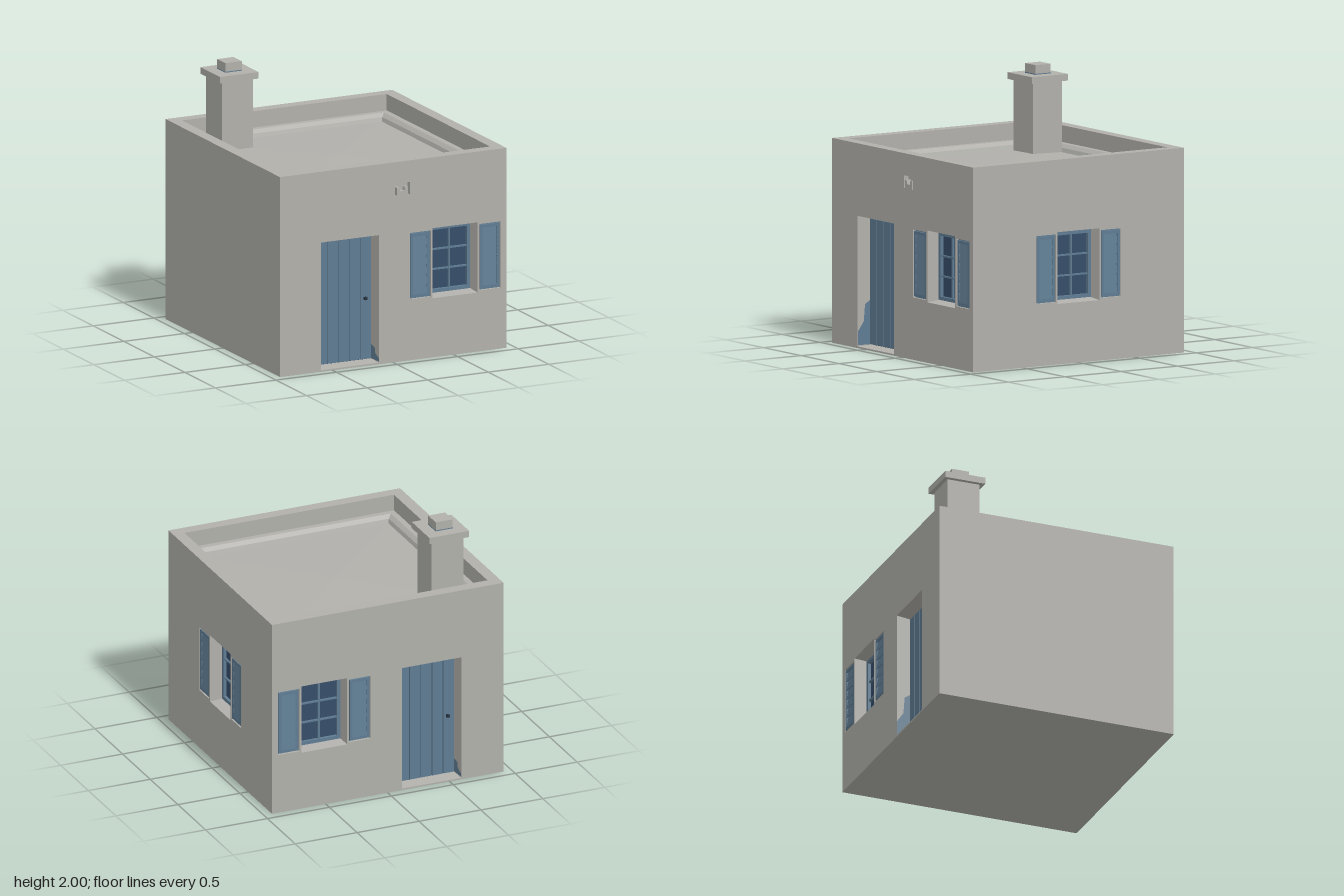
import * as THREE from 'three';

const HALF = 0.935, WALL_TOP = 1.525, DEPTH = 0.115;

function material(name, color, side = THREE.FrontSide) {
  const m = new THREE.MeshStandardMaterial({ color, side });
  m.name = name;
  return m;
}

// Corners of a rectangle, counter-clockwise, at depth z
const rect = (x0, x1, y0, y1, z) => [[x0, y0, z], [x1, y0, z], [x1, y1, z], [x0, y1, z]];

// Flat-sided skin joining consecutive loops of equal length
function skin(loops) {
  const pos = [];
  for (let k = 0; k + 1 < loops.length; k++) {
    const a = loops[k], b = loops[k + 1], n = a.length;
    for (let i = 0; i < n; i++) {
      const j = (i + 1) % n;
      pos.push(...a[i], ...a[j], ...b[j], ...a[i], ...b[j], ...b[i]);
    }
  }
  const g = new THREE.BufferGeometry();
  g.setAttribute('position', new THREE.Float32BufferAttribute(pos, 3));
  g.computeVertexNormals();
  return g;
}

const toShape = (pts) => new THREE.Shape(pts.map(([x, y]) => new THREE.Vector2(x, y)));

export function createModel() {
  const plaster = material('plaster', 0xb1b0ab, THREE.DoubleSide);
  const paint = material('bluePaint', 0x5f7c92, THREE.DoubleSide);
  const glass = material('glass', 0x354d68);
  const dark = material('darkMetal', 0x26323d);

  const house = new THREE.Group();
  house.name = 'house';

  function add(parent, name, geo, mat, x = 0, y = 0, z = 0) {
    const m = new THREE.Mesh(geo, mat);
    m.name = name;
    m.position.set(x, y, z);
    parent.add(m);
    return m;
  }
  const box = (parent, name, mat, w, h, d, x, y, z) =>
    add(parent, name, new THREE.BoxGeometry(w, h, d), mat, x, y, z);

  // Recess: cuts a hole in the wall and lines it back to the inner loop
  function recess(wall, holes, name, outer, inner, backMat) {
    holes.push(toShape(outer));
    add(wall, name + 'Reveal', skin([outer, inner]), plaster, 0, 0, HALF);
    if (backMat) {
      add(wall, name + 'Back', new THREE.ShapeGeometry(toShape(inner)), backMat, 0, 0, HALF + inner[0][2]);
    }
  }

  // Louvred shutter set flush in a shallow recess
  function shutter(wall, holes, cx) {
    const w = 0.0865, y0 = 0.465, y1 = 0.97, d = -0.02;
    recess(wall, holes, 'shutter', rect(cx - w, cx + w, y0, y1, 0), rect(cx - w, cx + w, y0, y1, d), paint);
    const g = new THREE.Group();
    g.name = 'shutter';
    g.position.set(cx, 0, HALF - 0.011);
    wall.add(g);
    for (const s of [-1, 1]) {
      box(g, 'shutterStile', paint, 0.022, 0.485, 0.016, s * 0.069, 0.7175, 0);
      box(g, 'shutterRail', paint, 0.116, 0.022, 0.016, 0, 0.7175 + s * 0.2315, 0);
    }
    for (let i = 0; i < 6; i++) {
      const slat = box(g, 'slat', paint, 0.116, 0.076, 0.004, 0, 0.533 + i * 0.074, 0.001);
      slat.rotation.x = -0.14;
    }
  }

  // Six-pane window in a splayed opening, with a shutter on each side
  function windowUnit(wall, holes, cx) {
    const w = 0.17, y0 = 0.465, y1 = 0.97;
    recess(wall, holes, 'window',
      rect(cx - w - 0.015, cx + w + 0.015, y0 - 0.015, y1 + 0.015, 0),
      rect(cx - w, cx + w, y0, y1, -DEPTH), glass);
    const g = new THREE.Group();
    g.name = 'windowFrame';
    g.position.set(cx, 0, HALF - DEPTH + 0.01);
    wall.add(g);
    for (const s of [-1, 1]) {
      box(g, 'frameSide', paint, 0.026, y1 - y0, 0.03, s * 0.157, 0.7175, 0);
      box(g, 'frameRail', paint, 0.29, 0.026, 0.03, 0, 0.7175 + s * 0.2395, 0);
      box(g, 'glazingBar', paint, 0.29, 0.012, 0.016, 0, 0.7175 + s * 0.076, 0);
    }
    box(g, 'glazingPost', paint, 0.014, 0.455, 0.018, 0, 0.7175, 0);
    for (const s of [-1, 1]) shutter(wall, holes, cx + s * 0.2875);
  }

  // Plank door with a knob and worn paint low on the jambs
  function door(wall, holes, cx) {
    const y0 = 0.02, y1 = 0.965;
    recess(wall, holes, 'door',
      rect(cx - 0.24, cx + 0.24, 0.012, 0.985, 0),
      rect(cx - 0.23, cx + 0.23, y0, y1, -DEPTH), dark);
    for (let i = 0; i < 5; i++) {
      box(wall, 'doorPlank', paint, 0.084, y1 - y0 - 0.012, 0.02,
        cx + (i - 2) * 0.0905, (y0 + y1) / 2, HALF - DEPTH + 0.008);
    }
    box(wall, 'doorKnob', dark, 0.02, 0.02, 0.025, cx + 0.17, 0.49, HALF - DEPTH + 0.03);
    for (const [s, h] of [[-1, 0.36], [1, 0.13]]) {
      const geo = new THREE.ShapeGeometry(toShape(
        [[0.002, 0.022], [0.113, 0.022], [0.113, h], [0.06, h * 0.9], [0.05, h * 0.55], [0.002, h * 0.35]]));
      const p = geo.attributes.position;
      for (let i = 0; i < p.count; i++) {
        const u = p.getX(i);
        p.setXYZ(i, s * (0.238 - 0.01 * u / DEPTH), p.getY(i), -u);
      }
      geo.computeVertexNormals();
      add(wall, 'jambPaint', geo, paint, cx, 0, HALF);
    }
  }

  // Notched niche above the front window
  function niche(wall, holes) {
    const half = [[0.062, 1.265], [0.062, 1.36]];
    const inner = [[0.045, 1.265], [0.045, 1.327], [0.024, 1.327], [0.018, 1.298]];
    const right = [...inner.slice().reverse(), ...half];
    const left = right.slice().reverse().map(([x, y]) => [-x, y]);
    const at = (z) => [...right, ...left].map(([x, y]) => [x + 0.077, y, z]);
    recess(wall, holes, 'niche', at(0), at(-0.04), plaster);
  }

  // Four walls, each drawn facing +z and then turned into place
  const walls = [
    { name: 'frontWall', turn: 0, fill: (w, h) => { door(w, h, -0.355); windowUnit(w, h, 0.512); niche(w, h); } },
    { name: 'rightWall', turn: Math.PI / 2, fill: (w, h) => windowUnit(w, h, 0) },
    { name: 'backWall', turn: Math.PI, fill: (w, h) => { door(w, h, 0.355); windowUnit(w, h, -0.512); } },
    { name: 'leftWall', turn: -Math.PI / 2, fill: () => {} },
  ];
  for (const { name, turn, fill } of walls) {
    const wall = new THREE.Group(), holes = [];
    wall.name = name;
    wall.rotation.y = turn;
    fill(wall, holes);
    const face = toShape(rect(-HALF, HALF, 0, WALL_TOP, 0));
    face.holes = holes;
    add(wall, name + 'Face', new THREE.ShapeGeometry(face), plaster, 0, 0, HALF);
    house.add(wall);
  }

  // Parapet, ledge, sloped edge and slightly raised roof
  const square = (h, z) => rect(-h, h, -h, h, z);
  add(house, 'parapetAndRoof', skin([
    square(HALF, WALL_TOP), square(0.845, WALL_TOP), square(0.845, 1.4), square(0.8, 1.4),
    square(0.772, 1.375), square(0.762, 1.345), square(0.002, 1.36),
  ]), plaster).rotation.x = -Math.PI / 2;
  add(house, 'floor', new THREE.PlaneGeometry(HALF * 2, HALF * 2), plaster).rotation.x = Math.PI / 2;

  // Chimney
  const chimney = new THREE.Group();
  chimney.name = 'chimney';
  chimney.position.set(-0.558, 0, -0.638);
  house.add(chimney);
  box(chimney, 'chimneyStack', plaster, 0.256, 0.56, 0.256, 0, 1.6, 0);
  box(chimney, 'chimneyCap', plaster, 0.32, 0.05, 0.32, 0, 1.903, 0);
  box(chimney, 'chimneyPot', plaster, 0.136, 0.075, 0.136, 0, 1.9625, 0);
  box(chimney, 'potBand', paint, 0.138, 0.008, 0.138, 0, 1.931, 0);

  return house;
}
